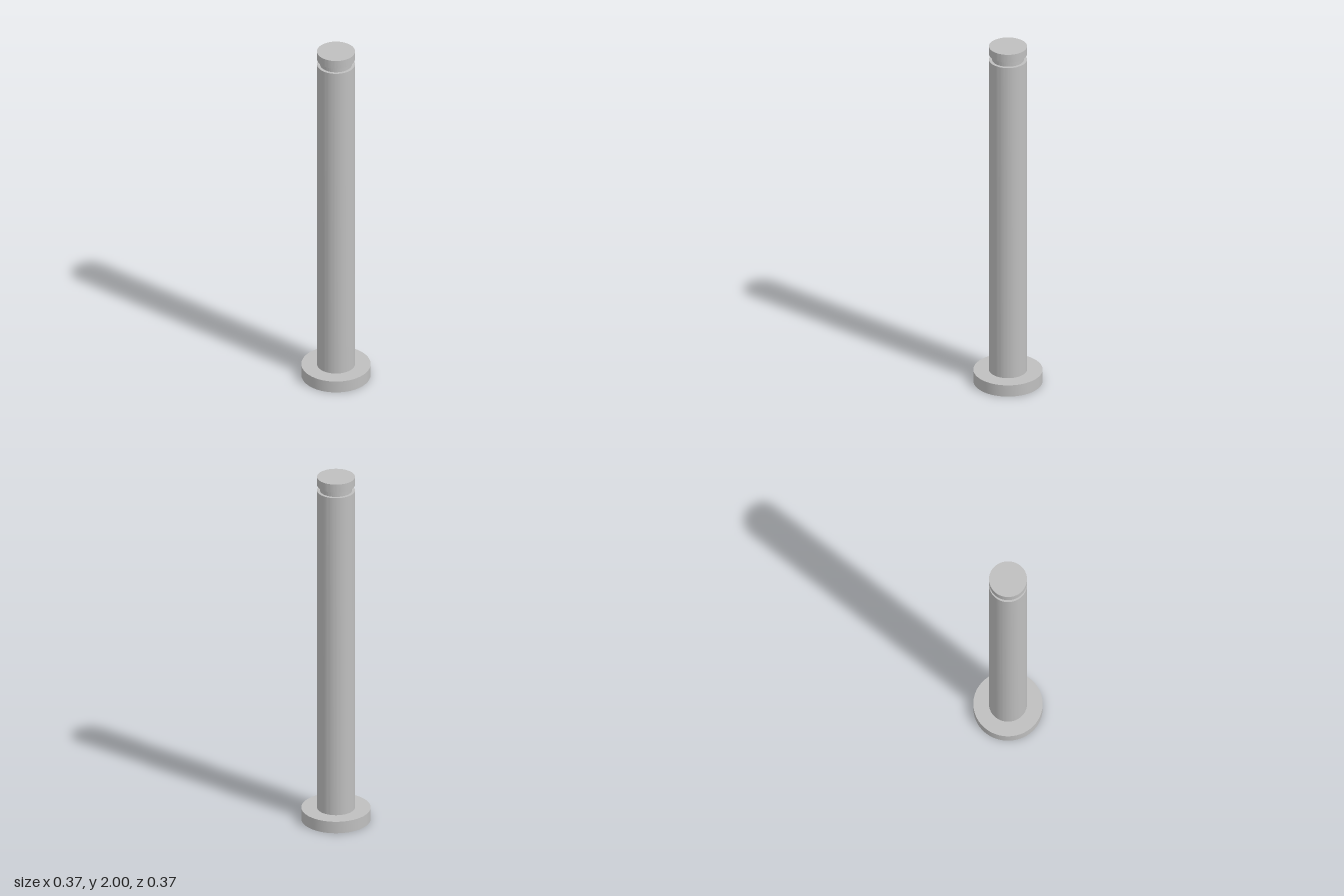
import * as THREE from 'three';
import { toCreasedNormals } from 'three/addons/utils/BufferGeometryUtils.js';

const HEAD_R = 0.184, SHAFT_R = 0.101, GROOVE_R = 0.085;
const HEAD_TOP = 0.067, GROOVE_BOTTOM = 1.921, GROOVE_TOP = 1.953, TOP = 2;

export function createModel() {
  const steel = new THREE.MeshStandardMaterial({ color: 0xbfbfbf });
  steel.name = 'steel grey';

  const pin = new THREE.Group();
  pin.name = 'clevisPin';

  // Revolves a [radius, height] profile, listed from bottom to top, with sharp rims
  function revolve(name, profile) {
    const points = profile.map(([r, y]) => new THREE.Vector2(r, y));
    const geometry = toCreasedNormals(new THREE.LatheGeometry(points, 96), 0.6);
    const mesh = new THREE.Mesh(geometry, steel);
    mesh.name = name;
    pin.add(mesh);
  }

  // Wide flat head that the pin stands on
  revolve('head', [[0, 0], [HEAD_R, 0], [HEAD_R, HEAD_TOP], [SHAFT_R, HEAD_TOP]]);

  // Long shaft, ending in the lower shoulder of the groove
  revolve('shaft', [[SHAFT_R, HEAD_TOP], [SHAFT_R, GROOVE_BOTTOM], [GROOVE_R, GROOVE_BOTTOM]]);

  // Narrow neck of the retaining groove
  revolve('grooveNeck', [[GROOVE_R, GROOVE_BOTTOM], [GROOVE_R, GROOVE_TOP]]);

  // Short end cap above the groove
  revolve('endCap', [[GROOVE_R, GROOVE_TOP], [SHAFT_R, GROOVE_TOP], [SHAFT_R, TOP], [0, TOP]]);

  return pin;
}
